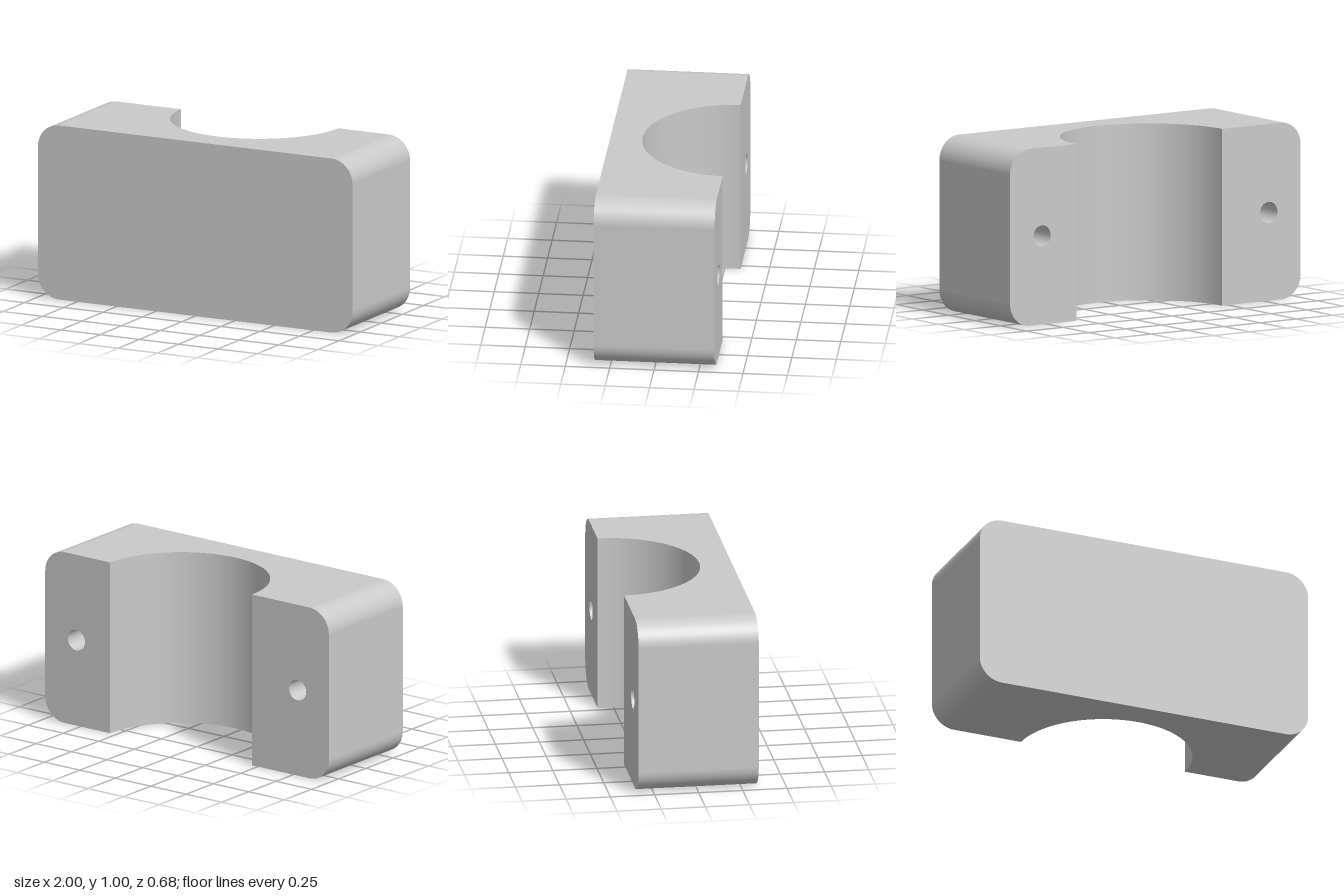
import * as THREE from 'three';

const H = 1, Z = 0.34, R = 0.135;              // height, half depth, corner radius
const CX = 0.043, CR = 0.5;                    // saddle centre and radius
const HOLE_X = 0.78, HOLE_R = 0.06, HOLE_D = 0.4;
const Q = Math.PI / 2;

// Turn a surface inside out
function flip(geo) {
  const idx = geo.index.array;
  for (let i = 0; i < idx.length; i += 3) [idx[i], idx[i + 1]] = [idx[i + 1], idx[i]];
  const n = geo.attributes.normal;
  for (let i = 0; i < n.count; i++) n.setXYZ(i, -n.getX(i), -n.getY(i), -n.getZ(i));
  return geo;
}

// Open tube wall along z
const tubeZ = (r, len, seg, start, sweep) =>
  new THREE.CylinderGeometry(r, r, len, seg, 1, true, start, sweep).rotateX(Q);

// Full rounded rectangle of the front
function frontShape() {
  const s = new THREE.Shape();
  [[1, R], [1, H - R], [-1, H - R], [-1, R]].forEach(([sx, y], i) =>
    s.absarc(sx * (1 - R), y, R, (i - 1) * Q, i * Q, false));
  return s;
}

// Back face of one arm, with its screw hole
function armShape(side) {
  const inner = CX + side * CR, c = side * (1 - R), cw = side < 0;
  const s = new THREE.Shape();
  s.moveTo(inner, H);
  s.lineTo(inner, 0);
  s.absarc(c, R, R, -Q, cw ? -Math.PI : 0, cw);
  s.absarc(c, H - R, R, cw ? Math.PI : 0, Q, cw);
  s.holes.push(new THREE.Path().absarc(side * HOLE_X, H / 2, HOLE_R, 0, Math.PI * 2, true));
  return s;
}

// Plan outline of the flat top and bottom, drawn with -z upward
function planShape() {
  const e = 1 - R;
  const s = new THREE.Shape();
  s.moveTo(-e, -Z);
  s.lineTo(e, -Z);
  s.lineTo(e, Z);
  s.lineTo(CX + CR, Z);
  s.absarc(CX, Z, CR, 0, -Math.PI, true);
  s.lineTo(-e, Z);
  return s;
}

export function createModel() {
  const grey = new THREE.MeshStandardMaterial({ color: 0xcacaca });
  grey.name = 'grey';
  const group = new THREE.Group();
  group.name = 'saddleBlock';
  const add = (name, geo, x = 0, y = 0, z = 0) => {
    const mesh = new THREE.Mesh(geo, grey);
    mesh.name = name;
    mesh.position.set(x, y, z);
    group.add(mesh);
  };

  // Flat faces
  add('frontFace', new THREE.ShapeGeometry(frontShape(), 16), 0, 0, Z);
  const plan = () => new THREE.ShapeGeometry(planShape(), 64).rotateX(-Q);
  add('topFace', plan(), 0, H, 0);
  add('bottomFace', flip(plan()));

  // Half-round saddle
  add('saddle', flip(new THREE.CylinderGeometry(CR, CR, H, 64, 1, true, -Q, Math.PI)), CX, H / 2, -Z);

  // Rounded long edges, running from the bottom of +x round to -x
  [[1, R], [1, H - R], [-1, H - R], [-1, R]].forEach(([sx, y], i) =>
    add('roundedEdge', tubeZ(R, 2 * Z, 16, i * Q, Q), sx * (1 - R), y, 0));

  // End walls, arm backs and blind screw holes
  for (const [side, name] of [[1, 'left'], [-1, 'right']]) {
    add(name + 'End', new THREE.PlaneGeometry(2 * Z, H - 2 * R).rotateY(side * Q), side, H / 2, 0);
    add(name + 'ArmBack', flip(new THREE.ShapeGeometry(armShape(side), 16)), 0, 0, -Z);
    add(name + 'HoleWall', flip(tubeZ(HOLE_R, HOLE_D, 32, 0, Math.PI * 2)), side * HOLE_X, H / 2, -Z + HOLE_D / 2);
    add(name + 'HoleFloor', new THREE.CircleGeometry(HOLE_R, 32).rotateY(Math.PI), side * HOLE_X, H / 2, -Z + HOLE_D);
  }
  return group;
}
